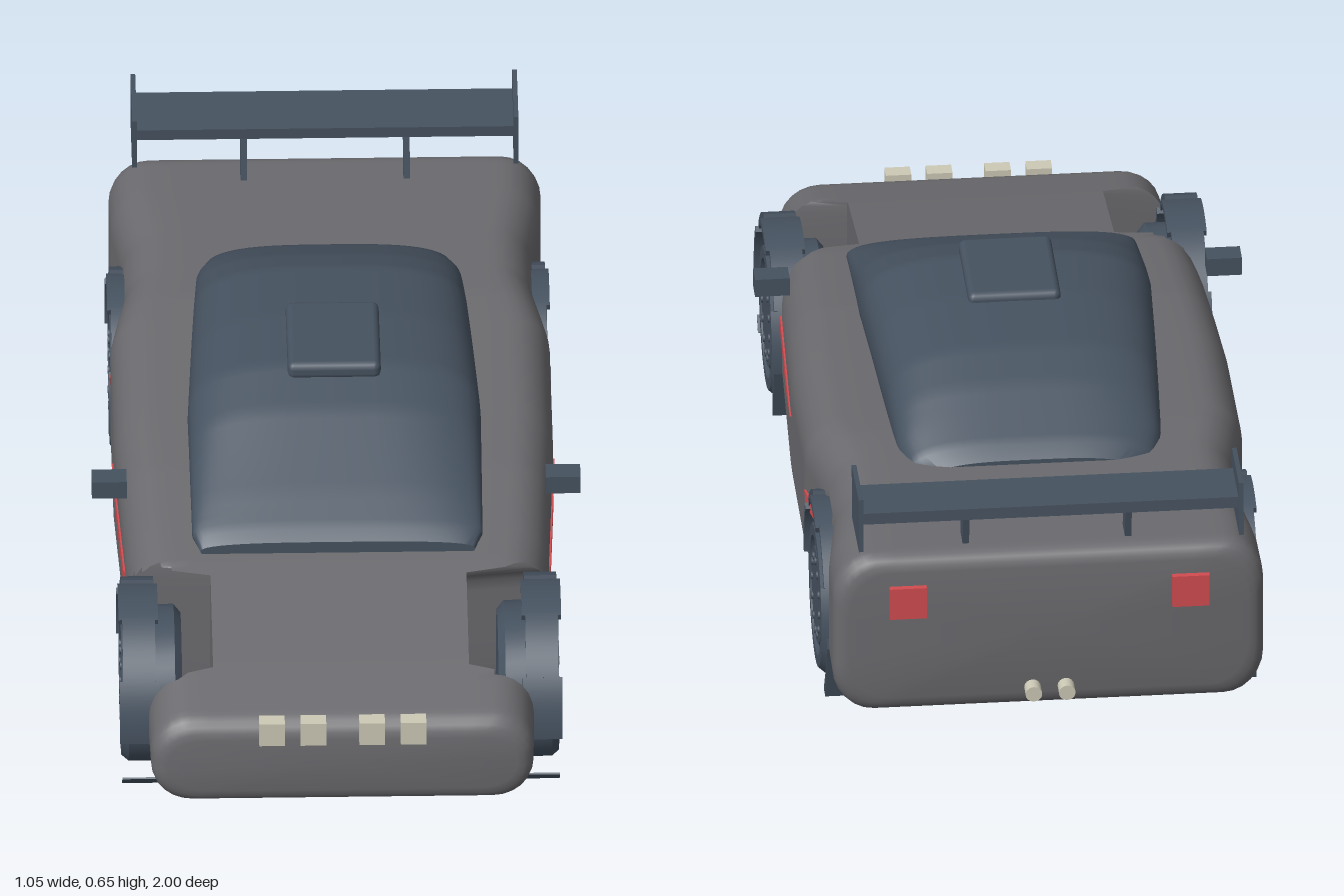
import * as THREE from 'three';
import { toCreasedNormals } from 'three/addons/utils/BufferGeometryUtils.js';
import { RoundedBoxGeometry } from 'three/addons/geometries/RoundedBoxGeometry.js';

const paint = (name, color) => Object.assign(new THREE.MeshStandardMaterial({ color }), { name });

// piecewise linear lookup in a list of [z, value]
function at(table, z) {
  for (let i = 1; i < table.length; i++) {
    const [z0, v0] = table[i - 1], [z1, v1] = table[i];
    if (z <= z1) return THREE.MathUtils.lerp(v0, v1, THREE.MathUtils.clamp((z - z0) / (z1 - z0), 0, 1));
  }
  return table[table.length - 1][1];
}

// skin over closed cross-sections, listed from back to front
function loft(rings, crease) {
  const n = rings[0].length, last = (rings.length - 1) * n, pos = rings.flat(2), index = [];
  for (let i = 0; i < rings.length - 1; i++) for (let j = 0; j < n; j++) {
    const a = i * n + j, b = i * n + (j + 1) % n;
    index.push(a, b, b + n, a, b + n, a + n);
  }
  const count = rings.length * n;
  for (const ring of [rings[0], rings[rings.length - 1]])
    pos.push(0, ring.reduce((s, p) => s + p[1], 0) / n, ring[0][2]);
  for (let j = 0; j < n; j++) {
    const k = (j + 1) % n;
    index.push(count, k, j, count + 1, last + j, last + k);
  }
  const g = new THREE.BufferGeometry();
  g.setAttribute('position', new THREE.Float32BufferAttribute(pos, 3));
  g.setIndex(index);
  return toCreasedNormals(g, crease);
}

// outline in (z, y), given a thickness across x
function sideShape(shape, depth, x) {
  return new THREE.ExtrudeGeometry(shape, { depth, bevelEnabled: false, curveSegments: 24 })
    .translate(0, 0, -depth / 2).rotateY(-Math.PI / 2).translate(x, 0, 0);
}
const polygon = pts => new THREE.Shape(pts.map(p => new THREE.Vector2(...p)));

const bodyTop = [[-0.945, 0.51], [-0.4, 0.51], [-0.2, 0.497], [0.2, 0.472], [0.5, 0.435], [0.8, 0.375], [0.985, 0.33]];
const bodyBottom = [[-0.945, 0.13], [-0.8, 0.115], [0.6, 0.112], [0.985, 0.13]];
const bodyWidth = [[-0.945, 0.465], [-0.8, 0.462], [-0.65, 0.44], [-0.5, 0.44], [-0.33, 0.472], [0, 0.472], [0.4, 0.455],
  [0.5, 0.445], [0.8, 0.415], [0.985, 0.41]];

function bodyRing(z) {
  const end = Math.min(z + 0.945, 0.985 - z), round = 0.035;
  const inset = end < round ? round - Math.sqrt(round ** 2 - (round - end) ** 2) : 0;
  const W = at(bodyWidth, z) - inset, T = at(bodyTop, z) - inset, B = at(bodyBottom, z) + inset;
  const rx = 0.085, ry = Math.min(0.1, (T - B) * 0.42), half = [];
  for (let i = 0; i <= 8; i++) half.push([(W - rx) * i / 8, B]);
  for (let i = 1; i <= 6; i++) {
    const t = i / 6 * Math.PI / 2;
    half.push([W - rx + rx * Math.sin(t), B + ry - ry * Math.cos(t)]);
  }
  for (let i = 1; i <= 14; i++) half.push([W, THREE.MathUtils.lerp(B + ry, T - ry, i / 14)]);
  for (let i = 1; i <= 6; i++) {
    const t = i / 6 * Math.PI / 2;
    half.push([W - rx + rx * Math.cos(t), T - ry + ry * Math.sin(t)]);
  }
  for (let i = 7; i >= 0; i--) half.push([(W - rx) * i / 8, T]);
  // wheel wells push the flanks inward
  for (const p of half) {
    const front = ((z - 0.655) / 0.185) ** 4 + ((p[1] - 0.22) / 0.22) ** 4 < 1;
    const rear = Math.hypot(z + 0.56, p[1] - 0.205) < 0.212;
    if (front) p[0] = Math.min(p[0], 0.275);
    if (rear) p[0] = Math.min(p[0], 0.32);
  }
  const other = half.slice(1, -1).reverse().map(([x, y]) => [-x, y]);
  return [...half, ...other].map(([x, y]) => [x, y, z]);
}

const roofTop = [[-0.565, 0.52], [-0.54, 0.545], [-0.4, 0.615], [-0.3, 0.65], [-0.1, 0.664], [0.08, 0.66], [0.2, 0.62],
  [0.38, 0.53], [0.46, 0.485], [0.48, 0.465]];
const roofWidth = [[-0.565, 0.23], [-0.54, 0.265], [-0.47, 0.285], [-0.2, 0.3], [0.1, 0.315], [0.44, 0.312], [0.48, 0.295]];

function canopyRing(z) {
  const T = at(roofTop, z), W = at(roofWidth, z), B = 0.425, mid = B + (T - B) * 0.45, ring = [];
  for (let j = 0; j < 48; j++) {
    const t = j / 48 * Math.PI * 2 - Math.PI / 2, c = Math.cos(t), s = Math.sin(t);
    const h = s > 0 ? T - mid : mid - B;
    ring.push([Math.sign(c) * Math.abs(c) ** 0.62 * W, mid + Math.sign(s) * Math.abs(s) ** 0.75 * h, z]);
  }
  return ring;
}

export function createModel() {
  const model = new THREE.Group();
  const grey = paint('body grey', 0x6b6b6f), dark = paint('dark slate', 0x465260);
  const red = paint('red', 0xd24c50), cream = paint('cream', 0xcdc9b6);
  const add = (name, geometry, material, x = 0, y = 0, z = 0) => {
    const m = new THREE.Mesh(geometry, material);
    m.name = name;
    m.position.set(x, y, z);
    model.add(m);
    return m;
  };
  const box = (name, mat, w, h, d, x, y, z) => add(name, new THREE.BoxGeometry(w, h, d), mat, x, y, z);
  const steps = (a, b, n) => Array.from({ length: n + 1 }, (_, i) => a + (b - a) * i / n);

  // shell and cabin
  const ends = [0.003, 0.01, 0.02];
  const bodyZ = [-0.945, ...ends.map(e => e - 0.945), ...steps(-0.91, 0.95, 124), ...ends.map(e => 0.985 - e).reverse(), 0.985];
  add('body', loft(bodyZ.map(bodyRing), 0.75), grey);
  add('canopy', loft([-0.565, ...steps(-0.54, 0.46, 50), 0.48].map(canopyRing), 0.7), dark);
  add('roofHatch', new RoundedBoxGeometry(0.2, 0.04, 0.25, 2, 0.015), dark, 0, 0.66, -0.005);

  // rear wing
  box('wing', dark, 0.82, 0.026, 0.135, 0, 0.63, -0.912).rotation.x = 0.05;

  const wheelProfile = [[0, -0.065], [0.15, -0.065], [0.168, -0.05], [0.168, 0.05], [0.155, 0.065], [0.13, 0.065],
    [0.125, 0.057], [0.11, 0.057], [0.105, 0.063], [0, 0.063]].map(p => new THREE.Vector2(...p));
  const wheelGeometry = toCreasedNormals(new THREE.LatheGeometry(wheelProfile, 40), 0.5);

  for (const s of [1, -1]) {
    box('wingEndPlate', dark, 0.01, 0.125, 0.168, s * 0.41, 0.62, -0.91).rotation.x = 0.06;
    box('wingSupport', dark, 0.014, 0.14, 0.05, s * 0.175, 0.56, -0.875).rotation.x = -0.2;
    box('mirror', dark, 0.075, 0.042, 0.05, s * 0.4875, 0.492, 0.288);
    for (const x of [0.063, 0.152]) box('headlight', cream, 0.055, 0.056, 0.035, s * x, 0.318, 0.9825);
    box('tailLight', red, 0.08, 0.075, 0.03, s * 0.305, 0.405, -0.943);
    add('exhaust', new THREE.CylinderGeometry(0.018, 0.018, 0.06, 16).rotateX(Math.PI / 2), cream, s * 0.036, 0.178, -0.948);

    // side stripes, following the flank
    const stripes = [[[0.4, 0.306], [0.4, 0.34], [-0.02, 0.335], [0.15, 0.31]],
      [[-0.34, 0.34], [-0.355, 0.308], [-0.44, 0.308], [-0.46, 0.338]]];
    for (const outline of stripes) {
      const g = sideShape(polygon(outline), 0.008, 0), p = g.attributes.position;
      for (let i = 0; i < p.count; i++) p.setX(i, p.getX(i) + s * at(bodyWidth, p.getZ(i)));
      g.computeVertexNormals();
      add('sideStripe', g, red);
    }

    // wheels with segmented arch flares
    for (const [end, z] of [['front', 0.625], ['rear', -0.56]]) {
      const wheel = add(end + 'Wheel', wheelGeometry, dark, s * 0.405, 0.205, z);
      wheel.rotation.z = -s * Math.PI / 2;
      for (let i = 0; i < 12; i++) {
        const a = new THREE.Mesh(new THREE.CylinderGeometry(0.009, 0.009, 0.006, 8), dark);
        a.name = 'rimBolt';
        a.position.set(0.085 * Math.cos(i * Math.PI / 6), 0.064, 0.085 * Math.sin(i * Math.PI / 6));
        wheel.add(a);
      }
      for (let i = 0; i < 5; i++) {
        const a0 = -0.05 + i * 0.65, a1 = a0 + 0.65, r = 0.205 + (i % 2) * 0.008, flare = new THREE.Shape();
        flare.absarc(0, 0, r + 0.015, a0, a1, false);
        flare.absarc(0, 0, r, a1, a0, true);
        add(end + 'ArchFlare', sideShape(flare, 0.085 - (i % 2) * 0.015, 0), dark, s * 0.433, 0.205, z);
      }
    }

    // mud flaps and front splitter blades
    const flaps = [[[0.43, 0.26], [0.415, 0.2], [0.457, 0.06], [0.45, 0.15]],
      [[-0.77, 0.26], [-0.76, 0.14], [-0.71, 0.06], [-0.745, 0.06], [-0.785, 0.2]]];
    flaps.forEach((f, i) => add('mudFlap', sideShape(polygon(f), i ? 0.16 : 0.08, s * (i ? 0.385 : 0.43)), dark));
    box('splitterBlade', dark, 0.08, 0.004, 0.04, s * 0.43, 0.08, 0.815).rotation.x = -0.8;
  }
  return model;
}
